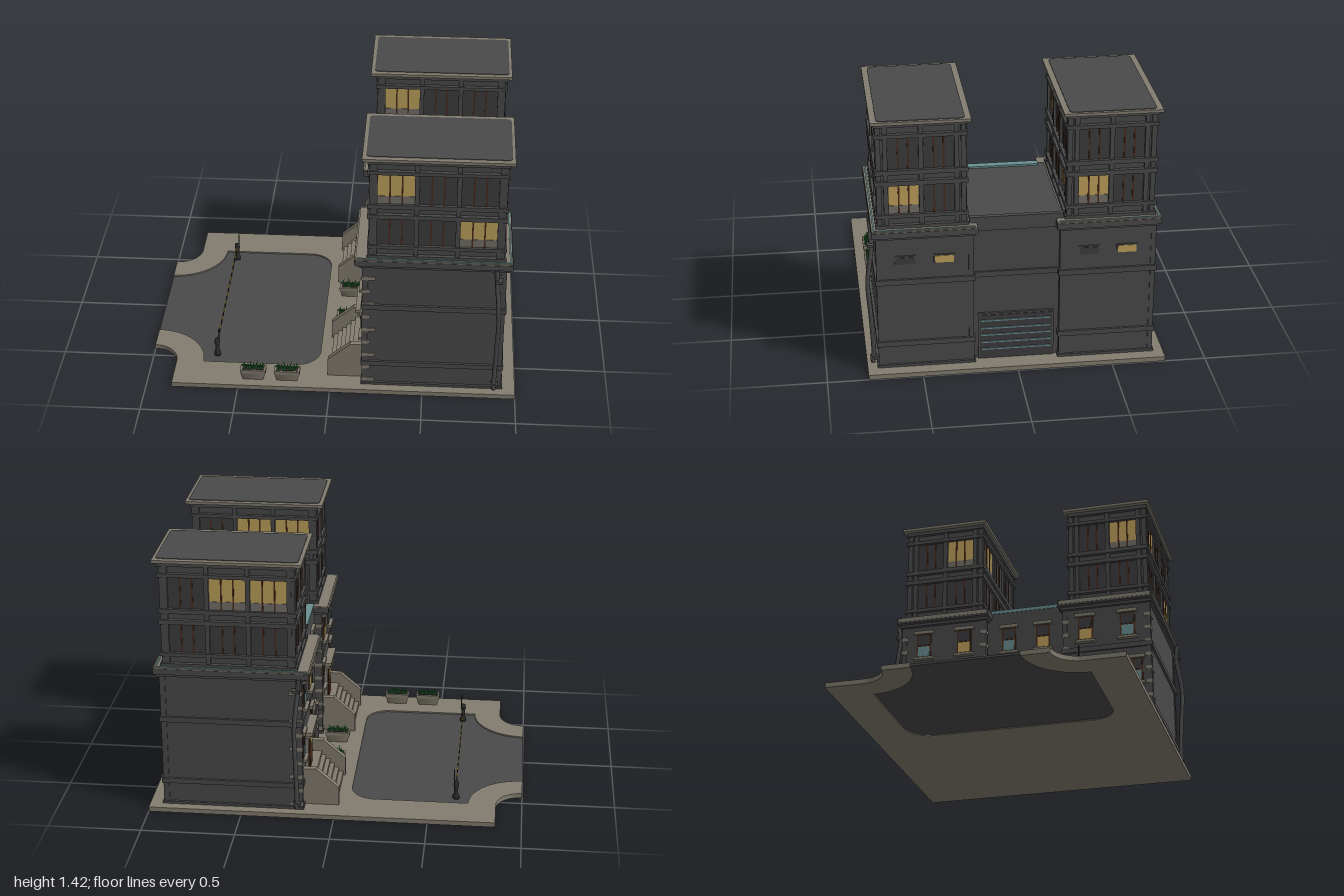
import * as THREE from 'three';

const mat = (name, color) => {
  const m = new THREE.MeshStandardMaterial({ color });
  m.name = name;
  return m;
};
const WALL = mat('dark wall', 0x4a4a4a);
const STONE = mat('pale stone', 0x837d70);
const GLASS = mat('dark glass', 0x3d3d3f);
const LIT = mat('lit window', 0xc0a25c);
const SILL = mat('grey blind', 0x75716a);
const WOOD = mat('brown wood', 0x4a2a1a);
const TEAL = mat('teal metal', 0x6a8f90);
const LEAF = mat('leaf green', 0x1f7a2c);
const BLACK = mat('black iron', 0x2b2b2c);
const ACCENT = mat('barrier yellow', 0xc9a23a);

function add(parent, name, geo, material) {
  const m = new THREE.Mesh(geo, material);
  m.name = name;
  parent.add(m);
  return m;
}
// Box given by its minimum and maximum along each axis
function box(parent, name, material, [x0, x1], [y0, y1], [z0, z1]) {
  const m = add(parent, name, new THREE.BoxGeometry(x1 - x0, y1 - y0, z1 - z0), material);
  m.position.set((x0 + x1) / 2, (y0 + y1) / 2, (z0 + z1) / 2);
  return m;
}
function group(parent, name, x = 0, y = 0, z = 0, rot = 0) {
  const g = new THREE.Group();
  g.name = name;
  g.position.set(x, y, z);
  g.rotation.y = rot;
  parent.add(g);
  return g;
}
// Flat slab from an (x, z) outline
function slab(parent, name, material, shape, y0, y1) {
  const geo = new THREE.ExtrudeGeometry(shape, { depth: y1 - y0, bevelEnabled: false, curveSegments: 12 });
  geo.rotateX(Math.PI / 2);
  geo.translate(0, y1, 0);
  add(parent, name, geo, material);
}

function ground(root) {
  const H = Math.PI / 2;
  const s = new THREE.Shape();
  s.moveTo(-0.86, -0.785).lineTo(1, -0.785).lineTo(1, 0.785).lineTo(-0.86, 0.785).lineTo(-0.86, 0.575);
  s.absarc(-1, 0.575, 0.14, 0, -H, true).absarc(-1, 0.575, 0.29, -H, 0, false);
  s.absarc(-0.2, 0.445, 0.13, H, 0, true).absarc(-0.2, -0.445, 0.13, 0, -H, true);
  s.absarc(-1, -0.575, 0.29, 0, H, false).absarc(-1, -0.575, 0.14, H, 0, true);
  slab(root, 'pavement', STONE, s, 0, 0.026);
  const r = new THREE.Shape();
  r.moveTo(-1, -0.285).lineTo(-1, 0.285).absarc(-1, 0.575, 0.29, -H, 0, false);
  r.absarc(-0.2, 0.445, 0.13, H, 0, true).absarc(-0.2, -0.445, 0.13, 0, -H, true);
  r.absarc(-1, -0.575, 0.29, 0, H, false);
  slab(root, 'roadSurface', WALL, r, 0.006, 0.018);
}

// One glazed bay in face coordinates: z = 0 is the wall plane
function bay(f, u, y0, y1, w, lit) {
  box(f, 'windowPane', lit ? LIT : GLASS, [u - w / 2, u + w / 2], [y0, y1], [0, 0.004]);
  if (lit) box(f, 'windowBlind', SILL, [u - w / 2, u + w / 2], [y0, y0 + 0.045], [0.004, 0.006]);
  for (const k of [-1, 1]) {
    const c = u + k * w / 6;
    box(f, 'mullion', WOOD, [c - 0.004, c + 0.004], [y0, y1], [0, 0.009]);
  }
}

function tower(root, z) {
  const t = group(root, 'tower', 0.555, 0, z);
  box(t, 'towerBody', WALL, [-0.34, 0.34], [0.82, 1.41], [-0.215, 0.215]);
  const rails = [[0.825, 0.845], [0.885, 0.905], [1.065, 1.09], [1.125, 1.15], [1.325, 1.345], [1.385, 1.408]];
  for (const y of rails) box(t, 'towerRail', WALL, [-0.362, 0.362], y, [-0.237, 0.237]);
  // [rotation, wall distance, bay centres, bay width, lit lower bays, lit upper bays]
  const faces = [
    [0, 0.215, [-0.215, 0, 0.215], 0.19, [2], [0]],
    [Math.PI / 2, 0.34, [-0.09, 0.09], 0.152, [0], []],
    [Math.PI, 0.215, [-0.215, 0, 0.215], 0.19, [], [1, 2]],
    [-Math.PI / 2, 0.34, [-0.09, 0.09], 0.152, [], [1]],
  ];
  for (const [rot, d, centres, w, low, high] of faces) {
    const f = group(t, 'towerFace', Math.sin(rot) * d, 0, Math.cos(rot) * d, rot);
    const step = centres[1] - centres[0];
    centres.forEach((u, i) => {
      bay(f, u, 0.905, 1.065, w, low.includes(i));
      bay(f, u, 1.15, 1.325, w, high.includes(i));
    });
    for (let i = 0; i <= centres.length; i++) {
      const u = centres[0] + (i - 0.5) * step;
      box(f, 'towerPillar', WALL, [u - 0.012, u + 0.012], [0.83, 1.4], [0, 0.016]);
    }
  }
  for (const sx of [-1, 1]) for (const sz of [-1, 1])
    box(t, 'cornerPost', WALL, [sx * 0.34 - 0.013, sx * 0.34 + 0.013], [0.83, 1.4], [sz * 0.215 - 0.013, sz * 0.215 + 0.013]);
  box(t, 'roofSlab', STONE, [-0.39, 0.385], [1.406, 1.422], [-0.252, 0.252]);
  const s = new THREE.Shape(), a = 0.37, b = 0.222, r = 0.025;
  s.absarc(a - r, b - r, r, 0, Math.PI / 2).absarc(-a + r, b - r, r, Math.PI / 2, Math.PI);
  s.absarc(-a + r, -b + r, r, Math.PI, Math.PI * 1.5).absarc(a - r, -b + r, r, Math.PI * 1.5, Math.PI * 2);
  slab(t, 'roofFelt', WALL, s, 1.42, 1.425);
}

// Sash window with stone lintel and ledge, on a face
function sash(f, u, y0, y1, w, lit) {
  const h = w / 2, mid = (y0 + y1) / 2;
  box(f, 'sashFrame', WOOD, [u - h, u + h], [y0, y1], [0, 0.006]);
  box(f, 'upperSash', GLASS, [u - h + 0.008, u + h - 0.008], [mid + 0.004, y1 - 0.008], [0.006, 0.009]);
  box(f, 'lowerSash', lit ? LIT : TEAL, [u - h + 0.008, u + h - 0.008], [y0 + 0.008, mid - 0.004], [0.006, 0.009]);
  box(f, 'lintel', STONE, [u - h - 0.015, u + h + 0.015], [y1, y1 + 0.02], [0, 0.018]);
  box(f, 'windowLedge', STONE, [u - h - 0.015, u + h + 0.015], [y0 - 0.015, y0], [0, 0.025]);
}

function stairs(f) {
  for (let i = 0; i < 6; i++)
    box(f, 'step', STONE, [-0.165, 0.165], [0.024, 0.05 + i * 0.024], [0, 0.18 - i * 0.024]);
  const s = new THREE.Shape();
  s.moveTo(0, 0.024).lineTo(0.192, 0.024).lineTo(0.192, 0.13).lineTo(0.07, 0.235).lineTo(0, 0.235);
  for (const c of [-1, 1]) {
    const geo = new THREE.ExtrudeGeometry(s, { depth: 0.032, bevelEnabled: false });
    geo.rotateY(-Math.PI / 2);
    geo.translate(c * 0.18 + 0.016, 0, 0);
    add(f, 'stairCheek', geo, STONE);
  }
}

function house(root, sign) {
  const h = group(root, 'house', 0, 0, sign * 0.475);
  box(h, 'houseWalls', WALL, [0.175, 0.92], [0.02, 0.8], [-0.245, 0.245]);
  for (const y of [[0.024, 0.04], [0.15, 0.178], [0.51, 0.54]])
    box(h, 'stringCourse', WALL, [0.165, 0.932], y, [-0.258, 0.258]);
  for (const x of [0.185, 0.91]) for (const z of [-0.238, 0.238])
    box(h, 'cornerPilaster', WALL, [x - 0.015, x + 0.015], [0.03, 0.8], [z - 0.013, z + 0.013]);
  box(h, 'corniceLower', WALL, [0.155, 0.94], [0.775, 0.79], [-0.262, 0.262]);
  box(h, 'cornice', WALL, [0.13, 0.955], [0.79, 0.822], [-0.272, 0.272]);
  box(h, 'corniceTop', STONE, [0.135, 0.952], [0.82, 0.828], [-0.27, 0.27]);
  box(h, 'gutterLine', TEAL, [0.14, 0.945], [0.826, 0.832], [sign * 0.258 - 0.004, sign * 0.258 + 0.004]);
  box(h, 'gutterLine', TEAL, [0.937, 0.945], [0.826, 0.832], [-0.258, 0.258]);

  // Small rear windows
  const b = group(h, 'rearFace', 0.92, 0, 0, Math.PI / 2);
  for (const [u, m] of [[-0.1, GLASS], [0.1, LIT]]) {
    box(b, 'rearWindowFrame', WALL, [u - 0.055, u + 0.055], [0.62, 0.673], [0, 0.006]);
    box(b, 'rearWindow', m, [u - 0.048, u + 0.048], [0.627, 0.666], [0.006, 0.009]);
  }

  // Entrance front
  const f = group(h, 'entranceFace', 0.175, 0, 0, -Math.PI / 2);
  sash(f, -0.12, 0.58, 0.725, 0.085, sign > 0);
  sash(f, 0.12, 0.58, 0.725, 0.085, sign < 0);
  for (const u of [-0.17, 0.17]) sash(f, u, 0.3, 0.44, 0.06, false);
  box(f, 'doorSurround', STONE, [-0.085, 0.085], [0.17, 0.38], [0, 0.016]);
  box(f, 'door', WOOD, [-0.05, 0.05], [0.17, 0.35], [0.016, 0.022]);
  box(f, 'doorLight', LIT, [-0.035, 0.035], [0.3, 0.335], [0.022, 0.025]);
  box(f, 'doorCanopy', STONE, [-0.11, 0.11], [0.375, 0.395], [0, 0.035]);
  box(f, 'doorCanopyTop', STONE, [-0.12, 0.12], [0.395, 0.415], [0, 0.045]);
  box(f, 'frontLedge', STONE, [-0.26, 0.26], [0.8, 0.823], [0.04, 0.047]);
  stairs(group(f, 'stairs', sign * -0.008, 0, 0));
  // Corner stones alternate long and short
  for (let i = 0; i < 9; i++) {
    const len = i % 2 ? 0.035 : 0.06, y = 0.045 + i * 0.081;
    for (const c of [-1, 1])
      box(h, 'cornerStone', STONE, [0.168, 0.18 + len], [y, y + 0.02], [c * 0.235 - 0.018, c * 0.235 + 0.018]);
  }
}

function middle(root) {
  const g = group(root, 'middleBlock');
  box(g, 'middleWalls', WALL, [0.215, 0.885], [0.02, 0.835], [-0.24, 0.24]);
  box(g, 'rearParapet', WALL, [0.875, 0.9], [0.78, 0.858], [-0.243, 0.243]);
  box(g, 'rearCourse', WALL, [0.88, 0.895], [0.51, 0.54], [-0.23, 0.23]);
  box(g, 'frontGutter', TEAL, [0.212, 0.255], [0.825, 0.845], [-0.205, 0.205]);
  box(g, 'rearGutter', TEAL, [0.855, 0.868], [0.83, 0.842], [-0.205, 0.205]);
  // Rear shutter with bright slats
  box(g, 'shutterFrame', WALL, [0.88, 0.897], [0.024, 0.295], [-0.2, 0.2]);
  box(g, 'shutter', GLASS, [0.895, 0.9], [0.03, 0.285], [-0.19, 0.19]);
  for (const y of [0.08, 0.122, 0.165, 0.205, 0.25])
    box(g, 'shutterSlat', TEAL, [0.898, 0.905], [y, y + 0.008], [-0.185, 0.185]);
  // Front windows and arched niche
  const f = group(g, 'middleFace', 0.215, 0, 0, -Math.PI / 2);
  for (const u of [-0.1, 0.1]) sash(f, u, 0.58, 0.725, 0.08, u > 0);
  box(f, 'middleCourse', STONE, [-0.22, 0.22], [0.51, 0.535], [0, 0.015]);
  const arch = (r, d, name, m) => {
    const s = new THREE.Shape();
    s.moveTo(-r, 0.024).lineTo(r, 0.024).absarc(0, 0.21, r, 0, Math.PI, false);
    add(f, name, new THREE.ExtrudeGeometry(s, { depth: d, bevelEnabled: false, curveSegments: 16 }), m);
  };
  arch(0.125, 0.035, 'archSurround', STONE);
  arch(0.095, 0.038, 'archPanel', GLASS);
  add(f, 'archRing', new THREE.TorusGeometry(0.05, 0.007, 8, 24), STONE).position.set(0, 0.21, 0.038);
}

function planter(root, x, z) {
  const p = group(root, 'planter', x, 0.026, z);
  const tub = add(p, 'planterTub', new THREE.CylinderGeometry(0.0707, 0.057, 0.045, 4, 1).rotateY(Math.PI / 4), STONE);
  tub.scale.set(1.36, 1, 0.58);
  tub.position.y = 0.023;
  box(p, 'planterRim', STONE, [-0.07, 0.07], [0.042, 0.062], [-0.03, 0.03]);
  box(p, 'planterSoil', BLACK, [-0.058, 0.058], [0.06, 0.065], [-0.02, 0.02]);
  for (let i = 0; i < 16; i++) {
    const leaf = add(p, 'plantLeaf', new THREE.ConeGeometry(0.006, 0.032 + (i % 3) * 0.008, 4), LEAF);
    leaf.position.set(-0.052 + i * 0.007, 0.078, ((i * 7) % 5 - 2) * 0.007);
    leaf.rotation.set(((i * 3) % 5 - 2) * 0.2, 0, ((i * 5) % 7 - 3) * 0.15);
  }
}

function barrier(root) {
  const g = group(root, 'roadBarrier', -0.642, 0.018, 0);
  const profile = [[0, 0], [0.018, 0], [0.018, 0.02], [0.011, 0.03], [0.011, 0.07], [0.016, 0.08], [0.012, 0.105], [0, 0.112]];
  for (const z of [-0.505, 0.495]) {
    const post = add(g, 'barrierPost', new THREE.LatheGeometry(profile.map(([x, y]) => new THREE.Vector2(x, y)), 12), BLACK);
    post.position.z = z;
    box(g, 'postRod', BLACK, [0.008, 0.014], [0.09, 0.17], [z - 0.003, z + 0.003]);
  }
  const n = 24, d = 0.98 / n;
  for (let i = 0; i < n; i++)
    box(g, 'barrierStripe', i % 2 ? BLACK : ACCENT, [-0.003, 0.003], [0.075, 0.087], [-0.495 + i * d, -0.495 + (i + 1) * d]);
}

function drainpipe(root, x, sign) {
  const pts = [[0.8, 0.755], [0.72, 0.745], [0.52, 0.77], [0.3, 0.758], [0.1, 0.75], [0.04, 0.755]]
    .map(([y, z], i) => new THREE.Vector3(x + [-0.015, -0.01, 0.008, 0.005, 0, 0][i], y, sign * z));
  add(root, 'drainpipe', new THREE.TubeGeometry(new THREE.CatmullRomCurve3(pts), 24, 0.012, 8), WALL);
  for (const y of [0.06, 0.72])
    box(root, 'pipeBracket', WALL, [x - 0.02, x + 0.02], [y, y + 0.015], [sign * 0.75 - 0.018, sign * 0.75 + 0.018]);
}

export function createModel() {
  const root = new THREE.Group();
  root.name = 'courtyardBuilding';
  ground(root);
  for (const sign of [1, -1]) {
    house(root, sign);
    tower(root, sign * 0.485);
  }
  middle(root);
  for (const [x, z] of [[0.07, -0.145], [0.07, 0.137], [-0.42, 0.705], [-0.235, 0.705]]) planter(root, x, z);
  barrier(root);
  drainpipe(root, 0.885, 1);
  drainpipe(root, 0.2, -1);
  return root;
}
